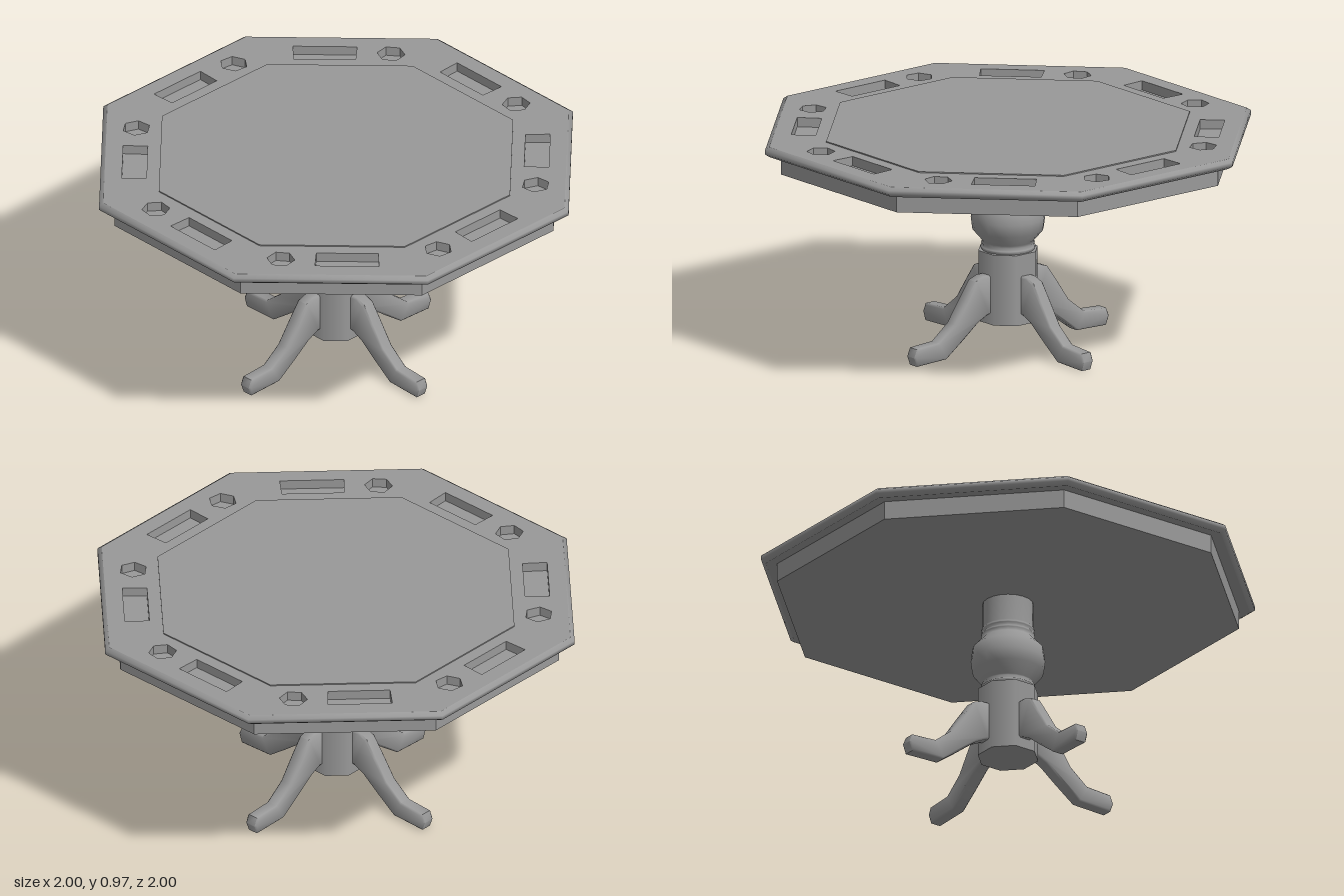
import * as THREE from 'three';
import { toCreasedNormals } from 'three/addons/utils/BufferGeometryUtils.js';

const flat = new THREE.MeshStandardMaterial({ color: 0x999999, flatShading: true });
const smooth = new THREE.MeshStandardMaterial({ color: 0x999999 });

const OCT = Math.cos(Math.PI / 8); // apothem / corner radius
const v2 = (x, y) => new THREE.Vector2(x, y);

function add(parent, name, geometry, material) {
  const mesh = new THREE.Mesh(geometry, material);
  mesh.name = name;
  parent.add(mesh);
  return mesh;
}

// Octagonal slab with flats facing the axes
function octSlab(apothem, y0, y1) {
  const g = new THREE.CylinderGeometry(apothem / OCT, apothem / OCT, y1 - y0, 8);
  return g.rotateY(Math.PI / 8).translate(0, (y0 + y1) / 2, 0);
}

function polygon(n, r, cx, cy, phase) {
  return Array.from({ length: n }, (_, i) => {
    const a = phase + (i / n) * Math.PI * 2;
    return v2(cx + r * Math.cos(a), cy + r * Math.sin(a));
  });
}

// Table surface with a chip tray and a cup holder cut into each side
function surfaceGeometry(apothem, y0, y1) {
  const shape = new THREE.Shape(polygon(8, apothem / OCT, 0, 0, Math.PI / 8));
  const tray = [v2(-0.07, -0.908), v2(0.203, -0.908), v2(0.198, -0.803), v2(-0.066, -0.803)];
  const cup = polygon(6, 0.06, -0.216, -0.855, -0.13);
  const origin = v2(0, 0);
  for (let i = 0; i < 8; i++) {
    for (const outline of [tray, cup]) {
      const pts = outline.map((p) => p.clone().rotateAround(origin, (i * Math.PI) / 4));
      shape.holes.push(new THREE.Path(pts));
    }
  }
  const g = new THREE.ExtrudeGeometry(shape, { depth: y1 - y0, bevelEnabled: false });
  return g.rotateX(-Math.PI / 2).translate(0, y0, 0);
}

// Curved leg side profile, extruded across its thickness with softened edges
function legGeometry() {
  const shape = new THREE.Shape([
    v2(0.08, 0.162), v2(0.13, 0.162), v2(0.185, 0.135), v2(0.27, 0.07), v2(0.36, 0.005),
    v2(0.522, 0), v2(0.537, 0.04), v2(0.522, 0.076), v2(0.4, 0.083), v2(0.315, 0.15),
    v2(0.25, 0.245), v2(0.198, 0.318), v2(0.155, 0.333), v2(0.08, 0.333),
  ]);
  const bevel = 0.007;
  const g = new THREE.ExtrudeGeometry(shape, {
    depth: 0.06 - 2 * bevel, bevelThickness: bevel, bevelSize: bevel,
    bevelOffset: -bevel, bevelSegments: 1,
  });
  return toCreasedNormals(g.translate(0, 0, -0.03 + bevel), 0.95);
}

export function createModel() {
  const model = new THREE.Group();
  model.name = 'gameTable';

  // Table top
  const top = new THREE.Group();
  top.name = 'tableTop';
  model.add(top);
  add(top, 'surface', surfaceGeometry(0.982, 0.918, 0.961), flat);
  const rim = [[0.98, 0.916], [1, 0.93], [1, 0.948], [0.982, 0.961]]
    .map(([a, y]) => v2(a / OCT, y));
  add(top, 'rim', new THREE.LatheGeometry(rim, 8).rotateY(Math.PI / 8), smooth);
  add(top, 'playingField', octSlab(0.748, 0.95, 0.966), flat);
  add(top, 'apron', octSlab(0.935, 0.836, 0.92), flat); // also the floor of the recesses

  // Turned column
  const profile = [
    [0.11, 0.42], [0.117, 0.435], [0.117, 0.442], [0.109, 0.448], [0.115, 0.456], [0.109, 0.465],
    [0.152, 0.515], [0.159, 0.568], [0.152, 0.625], [0.11, 0.67],
    [0.115, 0.684], [0.115, 0.69], [0.109, 0.698], [0.115, 0.706], [0.115, 0.712],
    [0.109, 0.722], [0.109, 0.845],
  ].map(([r, y]) => v2(r, y));
  add(model, 'column', new THREE.LatheGeometry(profile, 20), smooth);

  // Octagonal block that carries the legs
  add(model, 'legBlock', octSlab(0.122, 0.117, 0.428), smooth);

  // Four legs
  const leg = legGeometry();
  for (let i = 0; i < 4; i++) {
    add(model, 'leg', leg, smooth).rotation.y = (i * Math.PI) / 2;
  }
  return model;
}
